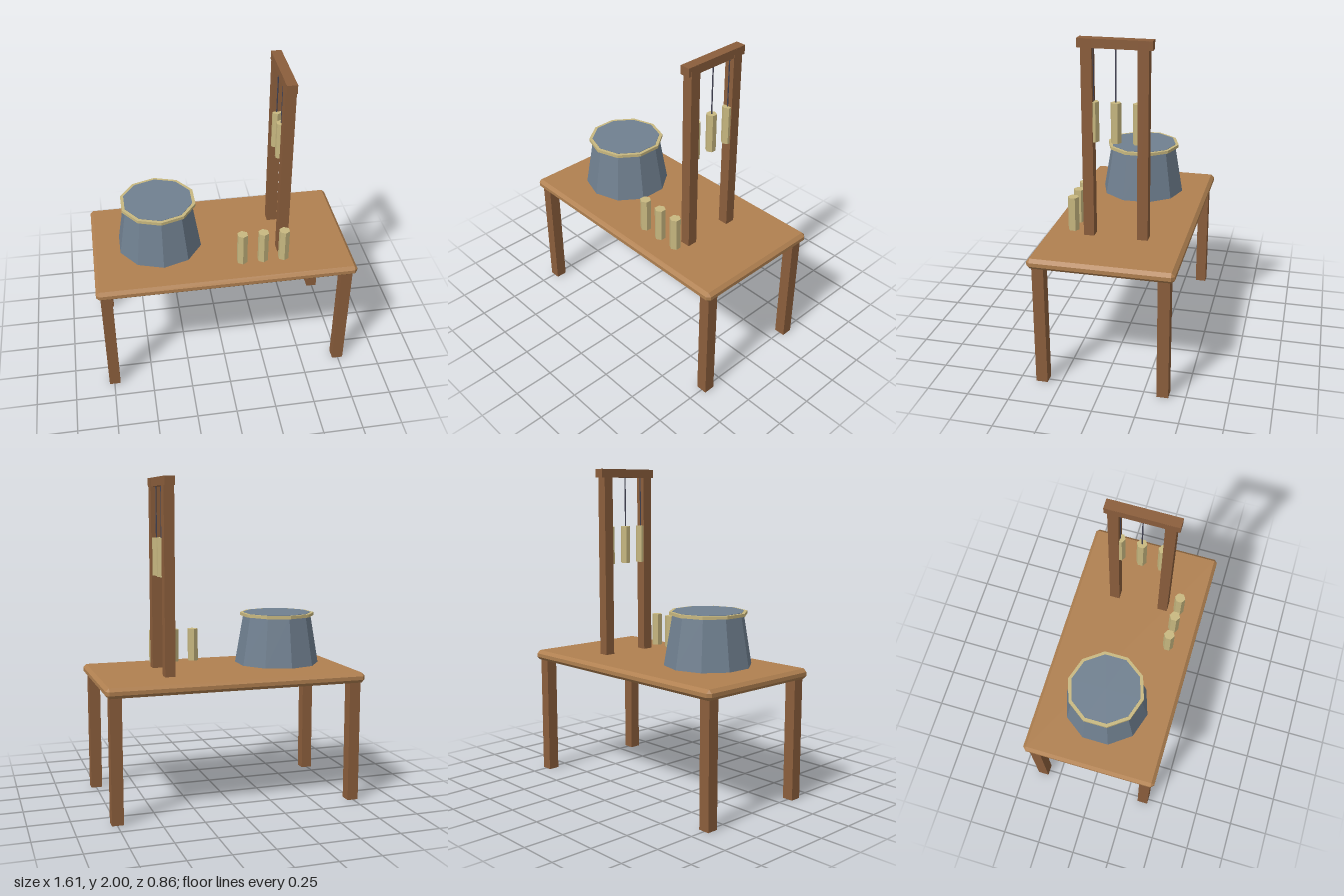
import * as THREE from 'three';
import { ConvexGeometry } from 'three/addons/geometries/ConvexGeometry.js';

const material = (name, color) => {
  const m = new THREE.MeshStandardMaterial({ color, flatShading: true });
  m.name = name;
  return m;
};

// Box with every edge and corner cut off
function chamferedBox(w, h, d, c) {
  const points = [];
  for (const sx of [-1, 1]) for (const sy of [-1, 1]) for (const sz of [-1, 1]) {
    const x = w / 2, y = h / 2, z = d / 2;
    points.push(
      new THREE.Vector3(sx * x, sy * (y - c), sz * (z - c)),
      new THREE.Vector3(sx * (x - c), sy * y, sz * (z - c)),
      new THREE.Vector3(sx * (x - c), sy * (y - c), sz * z));
  }
  return new ConvexGeometry(points);
}

export function createModel() {
  const group = new THREE.Group();
  const topWood = material('light wood', 0xb08050);
  const darkWood = material('dark wood', 0x8b5e3c);
  const slate = material('slate grey', 0x708090);
  const brass = material('pale brass', 0xc8b880);
  const cord = material('dark cord', 0x444455);

  const add = (name, geometry, mat, x, y, z) => {
    const mesh = new THREE.Mesh(geometry, mat);
    mesh.name = name;
    mesh.position.set(x, y, z);
    group.add(mesh);
    return mesh;
  };
  // Upright prism between two heights
  const prism = (name, rTop, rBottom, y0, y1, sides, mat, x, z) =>
    add(name, new THREE.CylinderGeometry(rTop, rBottom, y1 - y0, sides), mat, x, (y0 + y1) / 2, z);

  // Table
  add('tableTop', chamferedBox(1.612, 0.063, 0.856, 0.02), topWood, 0, 0.782, 0);
  for (const sx of [-1, 1]) for (const sz of [-1, 1])
    add('tableLeg', new THREE.BoxGeometry(0.07, 0.752, 0.07), darkWood, sx * 0.747, 0.376, sz * 0.366);

  // Tapered drum with rim, head and the peg beneath it
  prism('drumBody', 0.215, 0.267, 0.835, 1.145, 10, slate, -0.38, 0);
  prism('drumRim', 0.237, 0.237, 1.139, 1.158, 10, brass, -0.38, 0);
  prism('drumHead', 0.217, 0.217, 1.155, 1.16, 10, slate, -0.38, 0);
  prism('drumPeg', 0.04, 0.04, 0.822, 0.84, 6, darkWood, -0.38, 0);

  // Standing hexagonal rods
  for (const x of [0.105, 0.235, 0.365])
    prism('standingRod', 0.034, 0.034, 0.827, 1.037, 6, brass, x, 0.268);

  // Frame
  for (const s of [-1, 1])
    add('framePost', new THREE.BoxGeometry(0.064, 1.187, 0.064), darkWood, 0.375, 1.4035, s * 0.163);
  add('frameBeam', new THREE.BoxGeometry(0.062, 0.053, 0.432), darkWood, 0.375, 1.9735, 0);

  // Hanging chimes
  for (const z of [-0.13, 0, 0.13]) {
    prism('hangingChime', 0.031, 0.031, 1.4, 1.637, 6, brass, 0.375, z);
    prism('chimeCord', 0.004, 0.004, 1.63, 1.95, 6, cord, 0.375, z);
  }
  return group;
}
